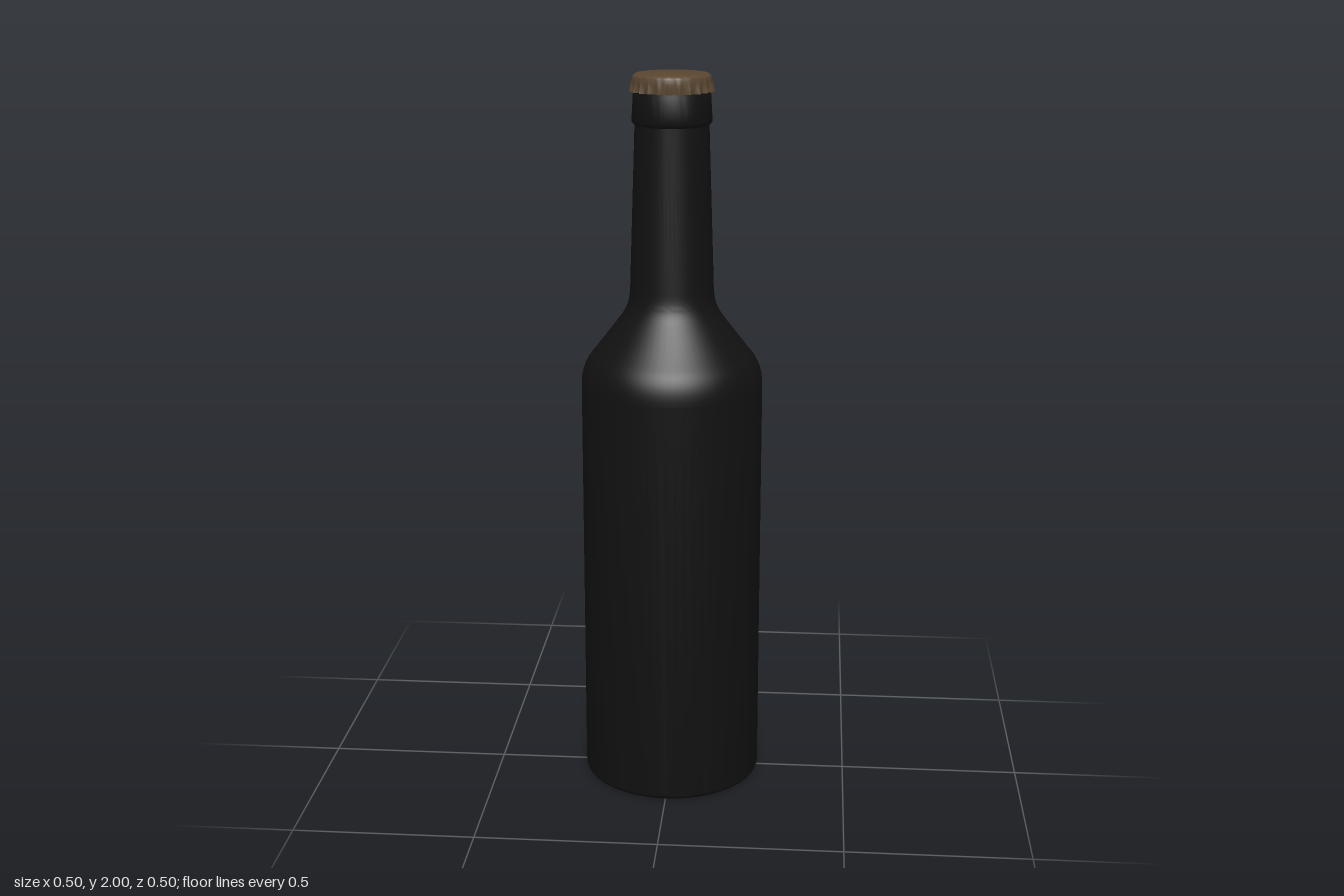
import * as THREE from 'three';
import { toCreasedNormals } from 'three/addons/utils/BufferGeometryUtils.js';

const glass = new THREE.MeshStandardMaterial({ color: 0x111111 });
const tin = new THREE.MeshStandardMaterial({ color: 0x5a4630 });

function addPart(group, name, geometry, material, crease = 0.6) {
  const mesh = new THREE.Mesh(toCreasedNormals(geometry, crease), material);
  mesh.name = name;
  group.add(mesh);
}

// Bottle outline from the hollow base up to the mouth
function bottleProfile() {
  const p = new THREE.Path();
  p.moveTo(0, 0.035);
  p.quadraticCurveTo(0.15, 0.035, 0.205, 0.004); // hollow base
  p.quadraticCurveTo(0.212, 0, 0.22, 0);
  p.lineTo(0.232, 0);
  p.quadraticCurveTo(0.25, 0, 0.25, 0.02); // rounded heel
  p.lineTo(0.25, 1.15);
  p.bezierCurveTo(0.25, 1.19, 0.24, 1.22, 0.212, 1.25); // shoulder
  p.lineTo(0.139, 1.345);
  p.bezierCurveTo(0.122, 1.37, 0.115, 1.39, 0.114, 1.43);
  p.lineTo(0.1, 1.865); // neck
  p.lineTo(0.105, 1.87); // collar
  p.quadraticCurveTo(0.108, 1.872, 0.108, 1.878);
  p.lineTo(0.104, 1.945);
  p.lineTo(0.099, 1.96);
  p.lineTo(0.099, 1.975);
  p.lineTo(0, 1.975);
  return p.getPoints(10);
}

// Crown cap: a lathe whose skirt is pulled out into pointed crimps
function capGeometry(teeth = 24) {
  const profile = [
    [0.098, 1.962], [0.1035, 1.953], [0.1045, 1.965], [0.1055, 1.978],
    [0.1055, 1.988], [0.104, 1.994], [0.1, 1.998], [0.095, 2], [0, 2],
  ].map(([r, y]) => new THREE.Vector2(r, y));
  const geometry = new THREE.LatheGeometry(profile, teeth * 6);
  const pos = geometry.attributes.position;
  for (let i = 0; i < pos.count; i++) {
    const x = pos.getX(i), y = pos.getY(i), z = pos.getZ(i);
    const r = Math.hypot(x, z);
    if (r < 0.102) continue;
    const phase = (Math.atan2(x, z) / (2 * Math.PI)) * teeth;
    const fromTip = Math.abs(phase - Math.round(phase)) * 2;
    const peak = Math.max(0, 1 - fromTip * 1.5);
    const flare = THREE.MathUtils.clamp((1.99 - y) / 0.037, 0, 1);
    const k = (r + 0.0105 * peak * flare) / r;
    pos.setXYZ(i, x * k, y, z * k);
  }
  return geometry;
}

export function createModel() {
  const model = new THREE.Group();
  model.name = 'bottle';
  addPart(model, 'glassBody', new THREE.LatheGeometry(bottleProfile(), 64), glass);
  addPart(model, 'crownCap', capGeometry(), tin, 0.5);
  return model;
}
